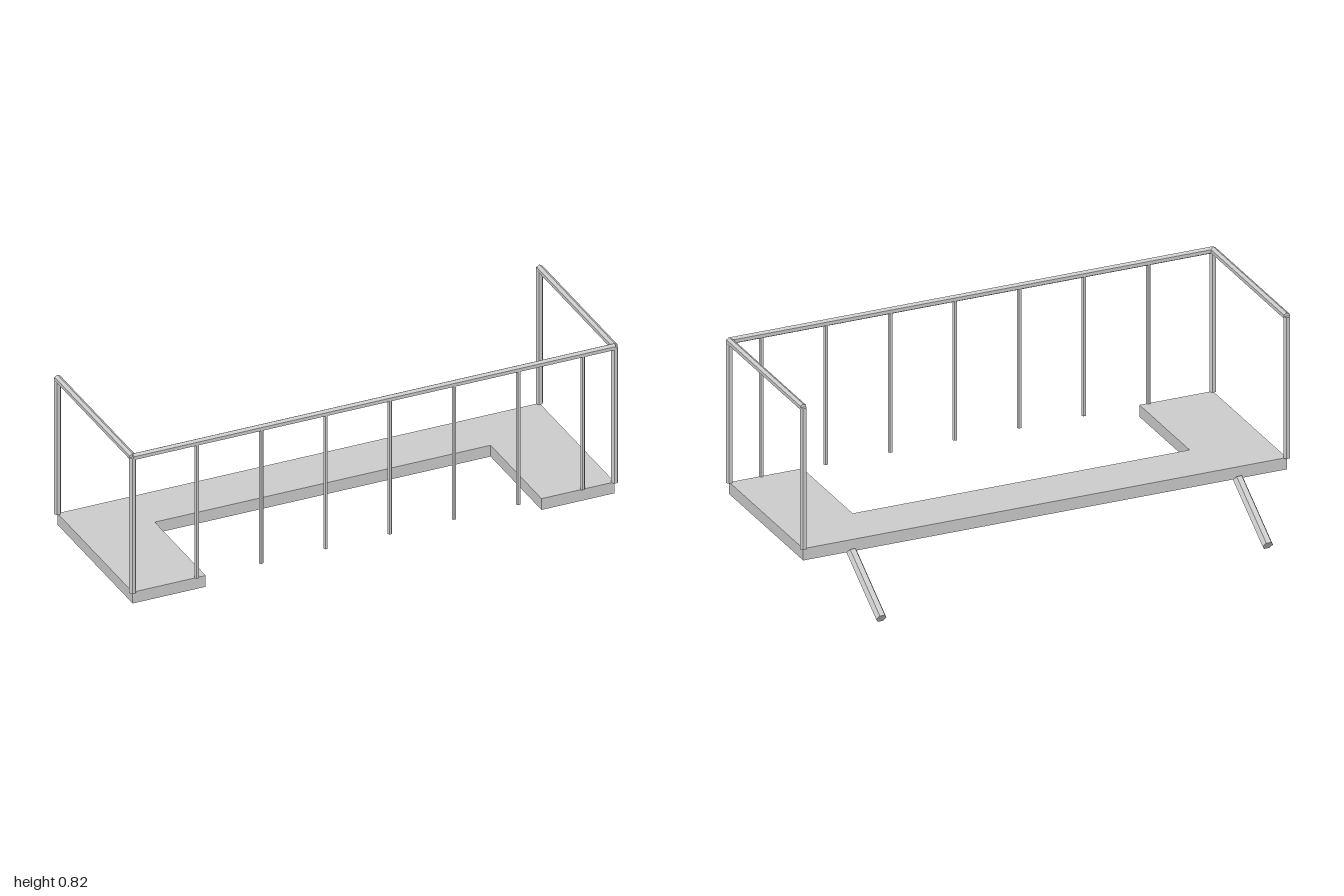
import * as THREE from 'three';

const material = new THREE.MeshStandardMaterial({ color: 0xcccccc, flatShading: true });
const UP = new THREE.Vector3(0, 1, 0);

// Hexagonal bar between two points; turn sets which way its edges face
function bar(name, from, to, radius, turn = Math.PI / 6) {
  const a = new THREE.Vector3(...from);
  const b = new THREE.Vector3(...to);
  const dir = b.clone().sub(a);
  const geometry = new THREE.CylinderGeometry(radius, radius, dir.length(), 6, 1, false, turn);
  const mesh = new THREE.Mesh(geometry, material);
  mesh.name = name;
  mesh.position.copy(a).add(b).multiplyScalar(0.5);
  mesh.quaternion.setFromUnitVectors(UP, dir.normalize());
  return mesh;
}

export function createModel() {
  const model = new THREE.Group();
  model.name = 'balconyPlatform';

  const halfWidth = 0.986, front = 0.46, back = -0.199;
  const floorTop = 0.233, floorBottom = 0.185, railY = 0.808;
  const railRadius = 0.014;

  // U-shaped floor slab, open at the front
  const outline = [
    [-halfWidth, back], [halfWidth, back], [halfWidth, front], [0.687, front],
    [0.687, 0.014], [-0.687, 0.014], [-0.687, front], [-halfWidth, front],
  ];
  const shape = new THREE.Shape(outline.map(([x, z]) => new THREE.Vector2(x, -z)));
  const floorGeometry = new THREE.ExtrudeGeometry(shape, {
    depth: floorTop - floorBottom, bevelEnabled: false,
  });
  floorGeometry.rotateX(-Math.PI / 2);
  const floor = new THREE.Mesh(floorGeometry, material);
  floor.name = 'floor';
  floor.position.y = floorBottom;
  model.add(floor);

  // Front handrail
  model.add(bar('frontRail', [-halfWidth, railY, front], [halfWidth, railY, front], railRadius));

  // Side rails, corner posts and slanted struts, mirrored
  for (const [side, s] of [['left', 1], ['right', -1]]) {
    const x = s * halfWidth;
    model.add(
      bar(side + 'Rail', [x, railY, back], [x, railY, front], railRadius, 0),
      bar(side + 'FrontPost', [x, floorTop, front], [x, railY, front], railRadius),
      bar(side + 'BackPost', [x, floorTop, back], [x, railY, back], railRadius),
      bar(side + 'Strut', [s * 0.788, 0.183, -0.198], [s * 0.788, 0.02, -0.462], 0.021),
    );
  }

  // Thin balusters hanging from the front handrail
  const balusters = new THREE.Group();
  balusters.name = 'balusters';
  for (let i = 1; i <= 7; i++) {
    const x = -halfWidth + i * 0.263;
    balusters.add(bar('baluster', [x, floorTop, front], [x, railY, front], 0.009));
  }
  model.add(balusters);

  return model;
}
